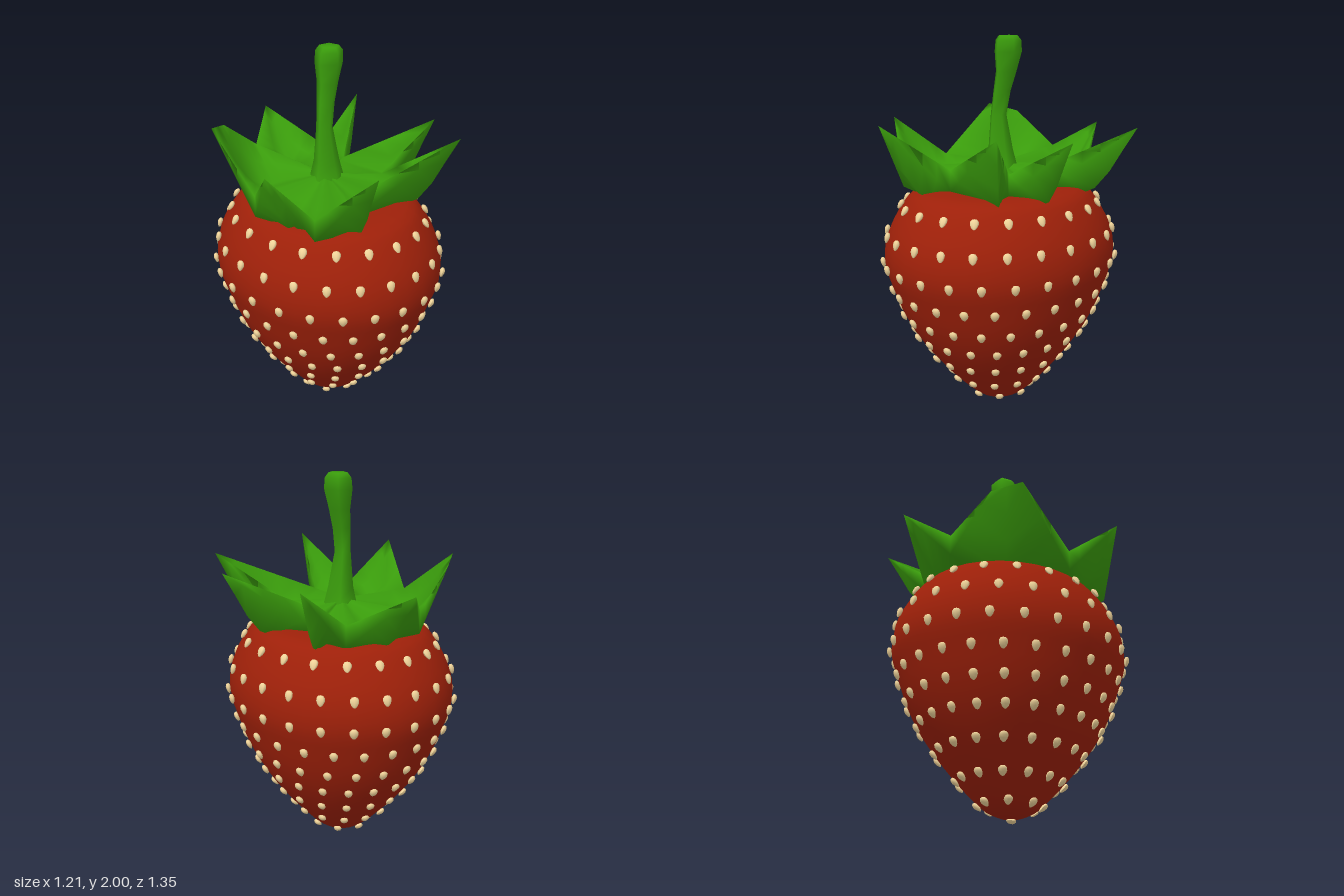
import * as THREE from 'three';
import { mergeGeometries, mergeVertices } from 'three/addons/utils/BufferGeometryUtils.js';

const DEPTH = 1.135; // the berry is deeper than it is wide
const CENTRE_X = -0.015;
const V = (x, y, z) => new THREE.Vector3(x, y, z);

// Half outline of the berry, bottom to top
const profile = new THREE.SplineCurve([
  [0, 0.02], [0.07, 0.042], [0.14, 0.085], [0.245, 0.2], [0.345, 0.33], [0.425, 0.455], [0.485, 0.58], [0.53, 0.71],
  [0.567, 0.85], [0.55, 1.0], [0.475, 1.15], [0.39, 1.225], [0.2, 1.23], [0, 1.23],
].map(([r, y]) => new THREE.Vector2(r, y))).getPoints(39);

// Radius and slope of the outline at a height
function outlineAt(y) {
  const i = profile.findIndex((p) => p.y >= y);
  const a = profile[i - 1], b = profile[i];
  const t = (y - a.y) / (b.y - a.y);
  return { r: a.x + (b.x - a.x) * t, slope: profile[i + 1].clone().sub(profile[i - 2]).normalize() };
}

function createBerry(material) {
  const geometry = new THREE.LatheGeometry(profile, 32);
  geometry.scale(1, 1, DEPTH);
  geometry.translate(CENTRE_X, 0, 0);
  const mesh = new THREE.Mesh(geometry, material);
  mesh.name = 'berry';
  return mesh;
}

function createSeeds(material) {
  // Flat teardrop, pointed end down
  const seed = new THREE.SphereGeometry(1, 8, 6);
  const pos = seed.attributes.position;
  for (let i = 0; i < pos.count; i++) {
    const k = 0.85 + 0.25 * pos.getY(i);
    pos.setXYZ(i, pos.getX(i) * 0.025 * k, pos.getY(i) * 0.028, pos.getZ(i) * 0.016 * k);
  }
  seed.computeVertexNormals();

  const rows = [
    [1.145, 20], [1.0, 23], [0.85, 24], [0.71, 24], [0.58, 23],
    [0.46, 22], [0.33, 18], [0.2, 14], [0.09, 8],
  ];
  const parts = [];
  rows.forEach(([y, count], row) => {
    const { r, slope } = outlineAt(y);
    for (let i = 0; i < count; i++) {
      const a = ((i + row * 0.38) / count) * Math.PI * 2;
      const s = Math.sin(a), c = Math.cos(a);
      const around = V(c, 0, -s * DEPTH).normalize();
      const up = V(s * slope.x, slope.y, c * slope.x * DEPTH).normalize();
      const out = around.clone().cross(up).normalize();
      const m = new THREE.Matrix4().makeBasis(around, out.clone().cross(around), out);
      m.setPosition(V(CENTRE_X + s * r, y, c * r * DEPTH).addScaledVector(out, 0.009));
      parts.push(seed.clone().applyMatrix4(m));
    }
  });
  // One seed under the tip
  parts.push(seed.clone().rotateX(Math.PI / 2).translate(-0.02, 0.018, 0));
  const mesh = new THREE.Mesh(mergeGeometries(parts), material);
  mesh.name = 'seeds';
  return mesh;
}

// Solid folded leaf: the upper edges pass through the notches, and a wall
// drops from each notch to the underside, thinning out to the tip
function leafGeometry(notchA, notchB, tipA, tipB) {
  const heart = V(-0.03, 1.35, 0), heartLow = V(-0.03, 1.22, 0);
  const tip = tipA.clone().lerp(tipB, 0.5);
  const along = (k, y) => V(tip.x * k, y, tip.z * k);
  const ridge = new THREE.CatmullRomCurve3([heart, along(0.36, 1.3), along(0.66, 1.265), tip]);
  const keel = new THREE.CatmullRomCurve3([heartLow, along(0.36, 1.215), along(0.66, 1.21), tip]);
  const edge = (start, notch, end, t) => (t < 0.5
    ? start.clone().lerp(notch, t * 2)
    : notch.clone().lerp(end, t * 2 - 1));
  const below = (p) => V(p.x, p.y - 0.11, p.z);
  const steps = 10, around = 8;
  const positions = [], index = [];
  for (let j = 0; j <= steps; j++) {
    const t = j / steps;
    const a = edge(heart, notchA, tipA, t), b = edge(heart, notchB, tipB, t), m = ridge.getPoint(t);
    const loop = [
      a, a.clone().lerp(m, 0.5), m, m.clone().lerp(b, 0.5), b,
      edge(heartLow, below(notchB), tipB, t), keel.getPoint(t), edge(heartLow, below(notchA), tipA, t),
    ];
    loop.forEach((p) => positions.push(p.x, p.y, p.z));
    if (j === steps) continue;
    for (let k = 0; k < around; k++) {
      const p = j * around + k, p1 = j * around + ((k + 1) % around);
      index.push(p, p + around, p1, p1, p + around, p1 + around);
    }
  }
  const geometry = new THREE.BufferGeometry();
  geometry.setAttribute('position', new THREE.Float32BufferAttribute(positions, 3));
  geometry.setIndex(index);
  return geometry;
}

function createLeaves(material) {
  // Each leaf has one tip, the back right one a blunt end with two corners
  const tips = [
    [V(0.06, 1.505, -0.68)],
    [V(-0.35, 1.55, -0.45), V(-0.48, 1.59, -0.35)],
    [V(-0.57, 1.56, 0.27)],
    [V(-0.21, 1.585, 0.63)],
    [V(0.45, 1.57, 0.47)],
    [V(0.6, 1.54, 0.13)],
    [V(0.53, 1.545, -0.44)],
  ];
  // Notch before each leaf, in the same order
  const notches = [
    V(0.23, 1.33, -0.38), V(-0.12, 1.37, -0.51), V(-0.46, 1.34, 0), V(-0.37, 1.33, 0.37),
    V(-0.07, 1.34, 0.3), V(0.21, 1.34, 0.16), V(0.19, 1.34, -0.13),
  ];
  const leaves = tips.map((t, i) => leafGeometry(notches[i], notches[(i + 1) % 7], t[0], t[t.length - 1]));
  const geometry = mergeVertices(mergeGeometries(leaves));
  geometry.computeVertexNormals();
  const mesh = new THREE.Mesh(geometry, material);
  mesh.name = 'leaves';
  return mesh;
}

// Five-sided stem, flared at the base and knobbed at the top
function createStem(material) {
  const rings = [ // x, y, z, radius
    [-0.02, 1.27, 0, 0.11], [-0.02, 1.35, 0, 0.085], [-0.022, 1.42, 0, 0.068], [-0.035, 1.6, 0, 0.043],
    [-0.02, 1.72, -0.01, 0.047], [0.0, 1.82, -0.02, 0.056], [0.01, 1.92, -0.023, 0.074],
    [0.012, 1.975, -0.023, 0.07], [0.012, 2.0, -0.023, 0.05], [0.012, 2.0, -0.023, 0],
  ];
  const tube = new THREE.CylinderGeometry(1, 1, 1, 5, rings.length - 1, true);
  const pos = tube.attributes.position;
  for (let i = 0; i < pos.count; i++) {
    const [x, y, z, r] = rings[rings.length - 1 - Math.floor(i / 6)];
    pos.setXYZ(i, x + pos.getX(i) * r, y, z + pos.getZ(i) * r);
  }
  // Weld the seam so the shading runs smoothly round
  tube.deleteAttribute('uv');
  tube.deleteAttribute('normal');
  const geometry = mergeVertices(tube);
  geometry.computeVertexNormals();
  const mesh = new THREE.Mesh(geometry, material);
  mesh.name = 'stem';
  return mesh;
}

export function createModel() {
  const red = new THREE.MeshStandardMaterial({ color: 0x9e2009 });
  const green = new THREE.MeshStandardMaterial({ color: 0x3a9c0c, side: THREE.DoubleSide });
  const cream = new THREE.MeshStandardMaterial({ color: 0xf0d49a });
  const model = new THREE.Group();
  model.name = 'strawberry';
  model.add(createBerry(red), createSeeds(cream), createLeaves(green), createStem(green));
  return model;
}
